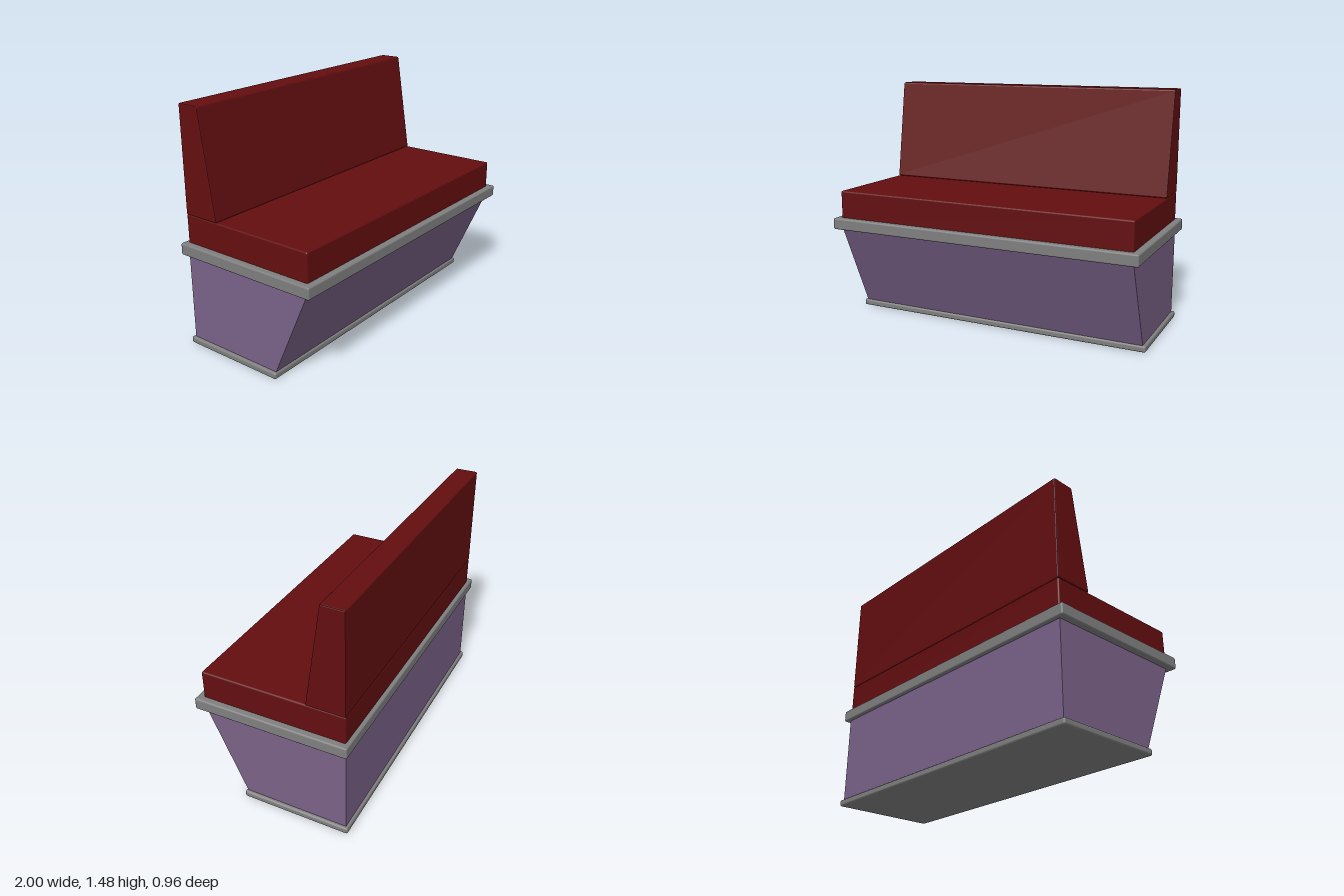
import * as THREE from 'three';
import { RoundedBoxGeometry } from 'three/addons/geometries/RoundedBoxGeometry.js';

const material = (name, color) => {
  const m = new THREE.MeshStandardMaterial({ color });
  m.name = name;
  return m;
};

// Softened box spanning the given y and z ranges, centred on x
function slab(name, mat, width, [y0, y1], [z0, z1], radius) {
  const mesh = new THREE.Mesh(new RoundedBoxGeometry(width, y1 - y0, z1 - z0, 2, radius), mat);
  mesh.position.set(0, (y0 + y1) / 2, (z0 + z1) / 2);
  mesh.name = name;
  return mesh;
}

// Side profile of [z, y] corners, rounded by radius, extruded along x
function profile(name, mat, width, corners, radius) {
  const pts = corners.map(([z, y]) => new THREE.Vector2(z, y));
  const shape = new THREE.Shape();
  pts.forEach((p, i) => {
    const toward = (q) => p.clone().add(q.clone().sub(p).setLength(radius));
    const a = toward(pts[(i + pts.length - 1) % pts.length]);
    const b = toward(pts[(i + 1) % pts.length]);
    if (i === 0) shape.moveTo(a.x, a.y);
    else shape.lineTo(a.x, a.y);
    if (radius > 0) shape.quadraticCurveTo(p.x, p.y, b.x, b.y);
  });
  shape.closePath();
  const bevel = radius * 0.7;
  const geo = new THREE.ExtrudeGeometry(shape, {
    depth: width - 2 * bevel, curveSegments: 3, bevelEnabled: radius > 0,
    bevelThickness: bevel, bevelSize: bevel, bevelOffset: -bevel, bevelSegments: 2,
  });
  geo.translate(0, 0, bevel - width / 2);
  geo.rotateY(-Math.PI / 2);
  const mesh = new THREE.Mesh(geo, mat);
  mesh.name = name;
  return mesh;
}

export function createModel() {
  const red = material('dark red upholstery', 0x640e10);
  const purple = material('muted purple panel', 0x7a6288);
  const grey = material('grey trim', 0x7f7f7f);

  const bench = new THREE.Group();
  bench.name = 'boothBench';
  bench.add(
    // Trim at the floor and under the cushion
    slab('floorTrim', grey, 1.96, [0, 0.04], [-0.473, 0.207], 0.012),
    slab('seatTrim', grey, 2, [0.585, 0.657], [-0.48, 0.48], 0.01),
    // Base with slanted front
    profile('base', purple, 1.92, [[-0.456, 0.02], [0.188, 0.02], [0.45, 0.62], [-0.456, 0.62]], 0),
    // Cushions
    slab('seatCushion', red, 1.92, [0.63, 0.83], [-0.456, 0.441], 0.01),
    profile('backrest', red, 1.92, [[-0.456, 0.828], [-0.216, 0.828], [-0.315, 1.475], [-0.456, 1.475]], 0.01),
  );
  return bench;
}
